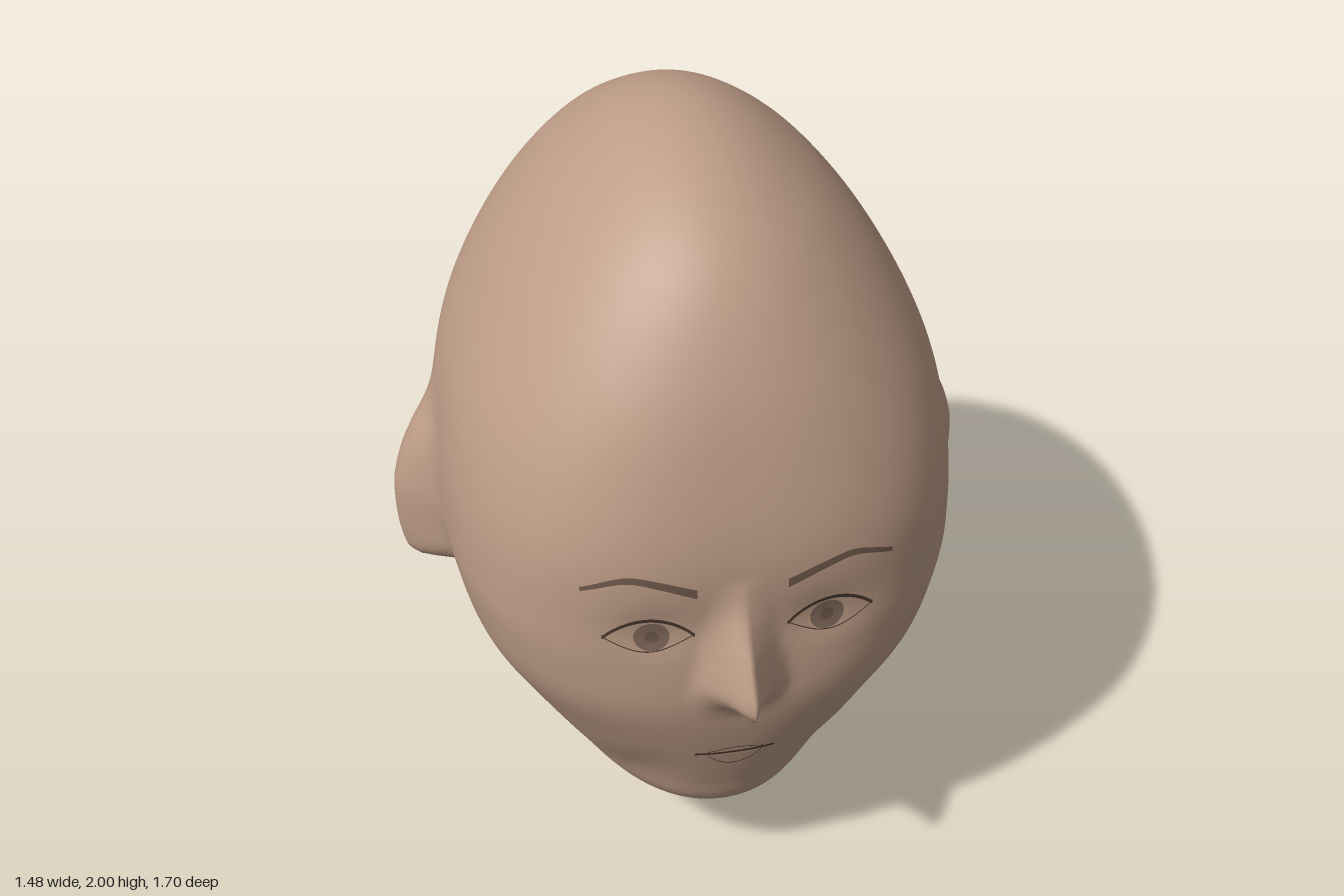
import * as THREE from 'three';

const material = (name, color, side = THREE.FrontSide) => {
  const m = new THREE.MeshStandardMaterial({ color, side });
  m.name = name;
  return m;
};

// Smooth curve through rows [key, value, value...], sampled at x
function sample(rows, x) {
  let i = 0;
  while (i < rows.length - 2 && x > rows[i + 1][0]) i++;
  const a = rows[i], b = rows[i + 1], h = b[0] - a[0];
  const t = THREE.MathUtils.clamp((x - a[0]) / h, 0, 1);
  const p = rows[i - 1] || a, q = rows[i + 2] || b;
  return a.slice(1).map((v, k) => {
    const m0 = (b[k + 1] - p[k + 1]) / (b[0] - p[0]) * h;
    const m1 = (q[k + 1] - a[k + 1]) / (q[0] - a[0]) * h;
    const t2 = t * t, t3 = t2 * t;
    return v * (2 * t3 - 3 * t2 + 1) + m0 * (t3 - 2 * t2 + t) + b[k + 1] * (3 * t2 - 2 * t3) + m1 * (t3 - t2);
  });
}

// Head sections: height, half width, front z, back z, squareness of the front
const polar = (y) => Math.acos(THREE.MathUtils.clamp(1 - y, -1, 1));
const SECTIONS = [
  [0, 0, 0.02, 0.02, 2], [0.03, 0.1, 0.14, -0.07, 2], [0.1, 0.19, 0.285, -0.12, 2],
  [0.2, 0.28, 0.43, -0.175, 2], [0.3, 0.345, 0.545, -0.265, 2], [0.4, 0.405, 0.587, -0.36, 2.1],
  [0.6, 0.52, 0.655, -0.57, 2.3], [0.75, 0.587, 0.688, -0.715, 2.6], [0.9, 0.622, 0.69, -0.812, 2.8],
  [1, 0.635, 0.69, -0.845, 2.8], [1.2, 0.628, 0.69, -0.847, 2.7], [1.4, 0.587, 0.65, -0.815, 2.5],
  [1.6, 0.49, 0.58, -0.73, 2.3], [1.8, 0.345, 0.455, -0.55, 2.1], [1.9, 0.238, 0.33, -0.39, 2],
  [2, 0, -0.03, -0.03, 2],
].map(([y, ...rest]) => [polar(y), ...rest]);
const NOSE = [[0.72, 0], [0.76, 0.02], [0.8, 0.08], [0.855, 0.162], [0.95, 0.112], [1, 0.072], [1.07, 0.025], [1.15, 0]];
const EAR = [[0.695, 0], [0.72, 0.02], [0.742, 0.115], [0.8, 0.132], [0.95, 0.112], [1.05, 0.085],
  [1.12, 0.055], [1.2, 0.01], [1.26, 0]];

function section(y) {
  const [w, front, back, n] = sample(SECTIONS, polar(y));
  return { w, front, back, n, mid: 0.02 - 0.025 * y };
}

// Nose, eye sockets and the folds beside the chin
function faceRelief(x, y) {
  const u = Math.abs(x);
  const hill = (cx, cy, sx, sy) => Math.exp(-(((u - cx) / sx) ** 2) - ((y - cy) / sy) ** 2);
  const noseWidth = THREE.MathUtils.clamp(0.13 - (y - 0.82) * 0.2, 0.07, 0.13);
  const nose = sample(NOSE, y)[0] * Math.max(0, 1 - u / noseWidth) ** 1.5;
  return nose - 0.014 * hill(0.2, 1, 0.1, 0.07) - 0.014 * hill(0.21, 0.43, 0.08, 0.1);
}

function earRelief(y, z) {
  const d = Math.abs(z + 0.09);
  const height = y < 0.85 ? y - 4 * d * d : y;
  return sample(EAR, height)[0] * Math.exp(-((d / 0.11) ** 2.5));
}

function faceZ(x, y) {
  const s = section(y);
  const k = Math.max(0, 1 - (Math.abs(x) / s.w) ** s.n) ** (1 / s.n);
  return s.mid + (s.front - s.mid) * k + faceRelief(x, y);
}

function headGeometry(around = 240, rows = 190) {
  const pos = [], index = [];
  for (let j = 0; j <= rows; j++) {
    const y = 1 - Math.cos(Math.PI * j / rows);
    const s = section(y);
    for (let i = 0; i < around; i++) {
      const a = 2 * Math.PI * i / around, c = Math.cos(a), f = Math.sin(a);
      const n = f > 0 ? s.n : 2;
      const r = (Math.abs(c) ** n + Math.abs(f) ** n) ** (-1 / n);
      let x = s.w * c * r;
      let z = s.mid + f * r * (f > 0 ? s.front - s.mid : s.mid - s.back);
      if (f > 0) z += faceRelief(x, y);
      if (Math.abs(c) > 0.6) x += Math.sign(c) * earRelief(y, z);
      pos.push(x, y, z);
      if (j < rows) {
        const p = j * around + i, q = j * around + (i + 1) % around;
        index.push(p, p + around, q, q, p + around, q + around);
      }
    }
  }
  return surface(pos, index);
}

function surface(pos, index) {
  const g = new THREE.BufferGeometry();
  g.setAttribute('position', new THREE.Float32BufferAttribute(pos, 3));
  g.setIndex(index);
  g.computeVertexNormals();
  return g;
}

// Thin patch following the face between two height curves
function patch(x0, x1, top, bottom, lift, side = 1) {
  const cols = 32, rows = 4, pos = [], index = [];
  const lo = Math.min(x0 * side, x1 * side), span = Math.abs(x1 - x0);
  for (let i = 0; i <= cols; i++) {
    const x = lo + span * (0.5 - 0.5 * Math.cos(Math.PI * i / cols)), u = x * side;
    for (let j = 0; j <= rows; j++) {
      const y = THREE.MathUtils.lerp(bottom(u), top(u), j / rows);
      pos.push(x, y, faceZ(x, y) + lift);
      if (i < cols && j < rows) {
        const p = i * (rows + 1) + j, q = p + rows + 1;
        index.push(p, q, p + 1, p + 1, q, q + 1);
      }
    }
  }
  return surface(pos, index);
}

export function createModel() {
  const model = new THREE.Group();
  model.name = 'head';
  const skin = material('skin', 0xbd9c86);
  const paintedSkin = material('eye and lip skin', 0xbd9c86, THREE.DoubleSide);
  const brow = material('brow brown', 0x6f594a, THREE.DoubleSide);
  const iris = material('iris brown', 0x80685a, THREE.DoubleSide);
  const line = material('dark line', 0x4a3a30, THREE.DoubleSide);
  const add = (name, geometry, mat, parent = model) => {
    const mesh = new THREE.Mesh(geometry, mat);
    mesh.name = name;
    parent.add(mesh);
  };

  add('skull', headGeometry(), skin);

  // Height curves of the eye and brow
  const arc = (u, a, b) => Math.sin(Math.PI * THREE.MathUtils.clamp((u - a) / (b - a), 0, 1));
  const lidTop = (u) => 1 + 0.05 * arc(u, 0.115, 0.32) ** 0.8;
  const lidBottom = (u) => 1 - 0.045 * arc(u, 0.115, 0.32);
  const browMid = (u) => sample([[0.107, 1.131], [0.19, 1.162], [0.27, 1.177], [0.37, 1.142]], u)[0];
  const browHalf = (u) => THREE.MathUtils.mapLinear(u, 0.107, 0.37, 0.013, 0.006);
  const disc = (r, sign) => (u) => THREE.MathUtils.clamp(
    0.998 + sign * Math.sqrt(Math.max(0, r * r - (u - 0.21) ** 2)), lidBottom(u), lidTop(u));

  for (const [word, s] of [['left', 1], ['right', -1]]) {
    const eye = new THREE.Group();
    eye.name = word + 'Eye';
    model.add(eye);
    add('eyeball', patch(0.115, 0.32, lidTop, lidBottom, 0.004, s), paintedSkin, eye);
    add('iris', patch(0.168, 0.252, disc(0.042, 1), disc(0.042, -1), 0.006, s), iris, eye);
    add('pupil', patch(0.193, 0.227, disc(0.017, 1), disc(0.017, -1), 0.008, s), brow, eye);
    add('upperLid', patch(0.11, 0.325, (u) => lidTop(u) + 0.008, (u) => lidTop(u) - 0.003, 0.008, s), line, eye);
    add('lowerLid', patch(0.115, 0.32, lidBottom, (u) => lidBottom(u) - 0.003, 0.006, s), line, eye);
    add(word + 'Eyebrow', patch(0.107, 0.37, (u) => browMid(u) + browHalf(u),
      (u) => browMid(u) - browHalf(u), 0.009, s), brow);
  }

  // Mouth: parting line with the lip edges above and below
  const upper = (u) => 0.572 + 0.014 * arc(u, -0.07, 0.07);
  const lower = (u) => 0.565 - 0.05 * arc(u, -0.068, 0.068) ** 0.7;
  add('lowerLip', patch(-0.068, 0.068, () => 0.565, lower, 0.005), paintedSkin);
  add('lowerLipEdge', patch(-0.068, 0.068, lower, (u) => lower(u) - 0.003, 0.006), line);
  add('upperLipEdge', patch(-0.07, 0.07, (u) => upper(u) + 0.003, upper, 0.006), line);
  add('mouthLine', patch(-0.1, 0.1, () => 0.573, () => 0.565, 0.007), line);
  return model;
}
